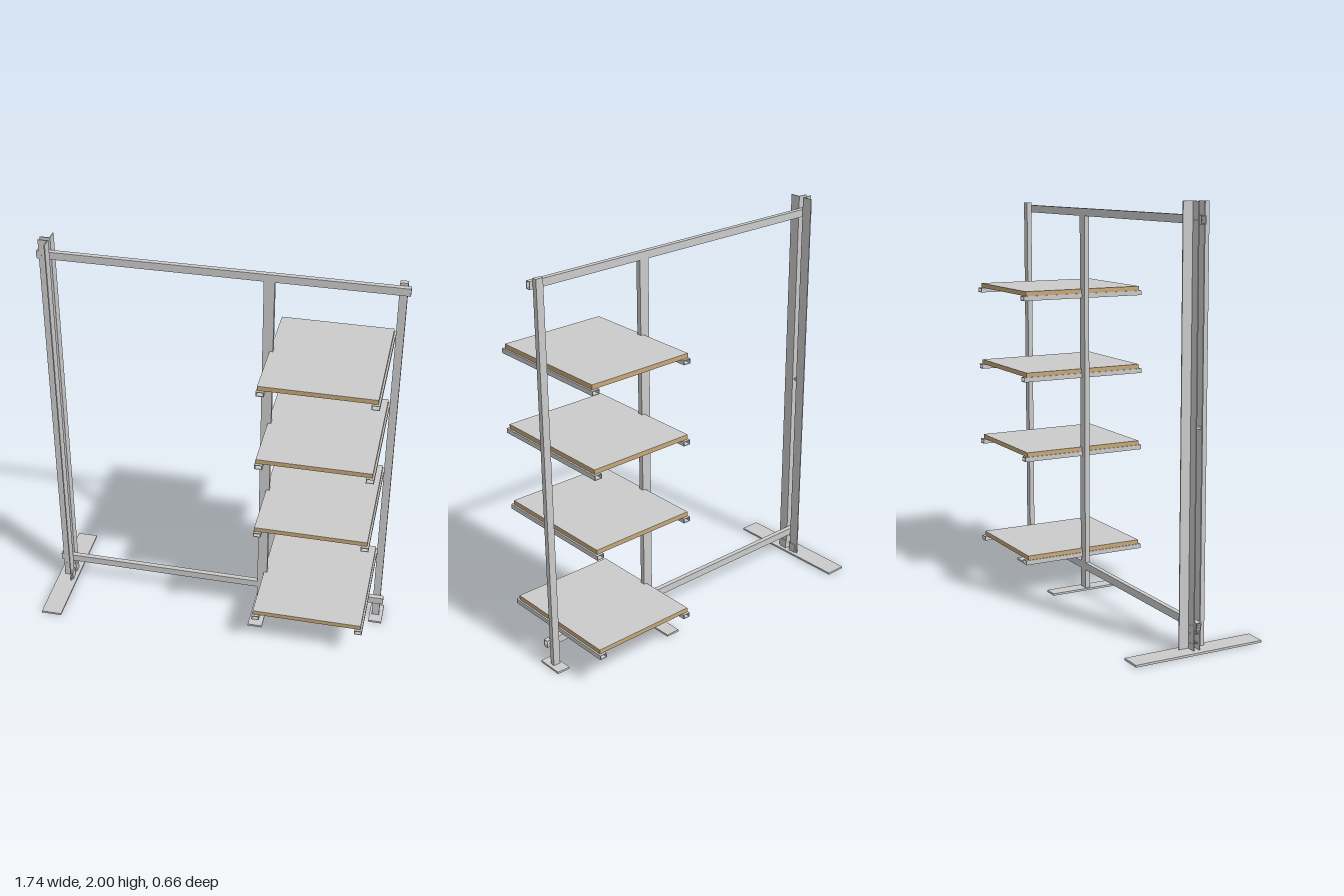
import * as THREE from 'three';

const grey = new THREE.MeshStandardMaterial({ color: 0xcccccc });
const wood = new THREE.MeshStandardMaterial({ color: 0xc8a878 });

export function createModel() {
  const model = new THREE.Group();

  const add = (name, geometry, material = grey, parent = model) => {
    const mesh = new THREE.Mesh(geometry, material);
    mesh.name = name;
    parent.add(mesh);
    return mesh;
  };

  // Solid box given by its limits on each axis
  const box = (name, [x0, x1], [y0, y1], [z0, z1], material, parent) => {
    const mesh = add(name, new THREE.BoxGeometry(x1 - x0, y1 - y0, z1 - z0), material, parent);
    mesh.position.set((x0 + x1) / 2, (y0 + y1) / 2, (z0 + z1) / 2);
    return mesh;
  };

  // Open-ended rectangular steel tube given by its limits, running along one axis
  const tube = (name, axis, [x0, x1], [y0, y1], [z0, z1], parent) => {
    const size = { x: x1 - x0, y: y1 - y0, z: z1 - z0 };
    const w = axis === 'x' ? size.z : size.x;
    const h = axis === 'y' ? size.z : size.y;
    const rect = (P, a, b) => new P([
      new THREE.Vector2(-a, -b), new THREE.Vector2(a, -b),
      new THREE.Vector2(a, b), new THREE.Vector2(-a, b)]);
    const wall = 0.003;
    const section = rect(THREE.Shape, w / 2, h / 2);
    section.holes.push(rect(THREE.Path, w / 2 - wall, h / 2 - wall));
    const geometry = new THREE.ExtrudeGeometry(section, { depth: size[axis], bevelEnabled: false });
    geometry.translate(0, 0, -size[axis] / 2);
    if (axis === 'x') geometry.rotateY(Math.PI / 2);
    if (axis === 'y') geometry.rotateX(-Math.PI / 2);
    const mesh = add(name, geometry, grey, parent);
    mesh.position.set((x0 + x1) / 2, (y0 + y1) / 2, (z0 + z1) / 2);
    return mesh;
  };

  const rod = (name, x, y, radius, length, parent) => {
    const geometry = new THREE.CylinderGeometry(radius, radius, length, 12).rotateX(Math.PI / 2);
    add(name, geometry, grey, parent).position.set(x, y, 0);
  };

  const core = [-0.0125, 0.0125];
  const plate = [0, 0.01];

  // Floor plates
  box('leftFoot', [-0.87, -0.767], plate, [-0.33, 0.33]);
  box('middleFoot', [0.197, 0.27], plate, [-0.2, 0.2]);
  box('rightFoot', [0.8, 0.867], plate, [-0.093, 0.04]);

  // Horizontal rails; the lower one is interrupted by the middle post
  tube('topRail', 'x', [-0.855, 0.865], [1.902, 1.939], core);
  tube('bottomRailLong', 'x', [-0.855, 0.209], [0.106, 0.143], core);
  tube('bottomRailShort', 'x', [0.259, 0.865], [0.106, 0.143], core);

  // Middle and right posts
  tube('middlePost', 'y', [0.209, 0.259], [0.01, 1.902], core);
  tube('rightPost', 'y', [0.812, 0.849], [0.01, 1.951], [-0.0375, -0.0125]);
  box('rightPostCap', [0.812, 0.849], [1.949, 1.952], [-0.0375, -0.0125]);

  // Pair of angle irons clamping the rail ends
  const leftPost = new THREE.Group();
  leftPost.name = 'leftPost';
  model.add(leftPost);
  const angle = new THREE.Shape([
    [-0.841, 0.0125], [-0.791, 0.0125], [-0.791, 0.066],
    [-0.796, 0.066], [-0.796, 0.0175], [-0.841, 0.0175],
  ].map(([x, z]) => new THREE.Vector2(x, z)));
  for (const side of [1, -1]) {
    const geometry = new THREE.ExtrudeGeometry(angle, { depth: 1.99, bevelEnabled: false });
    geometry.rotateX(-Math.PI / 2);
    const iron = add('angleIron', geometry, grey, leftPost);
    if (side > 0) {
      // Turned end for end so that its flange points forwards
      iron.rotation.x = Math.PI;
      iron.position.y = 2;
    } else {
      iron.position.y = 0.01;
    }
    const z = [side * 0.0125, side * 0.053].sort((a, b) => a - b);
    box('footBracket', [-0.791, -0.785], [0.01, 0.055], z, grey, leftPost);
  }

  // Bolts through the angle irons and the spacer at mid height
  for (const y of [1.92, 0.125, 0.085, 0.04])
    for (const x of [-0.829, -0.811]) rod('bolt', x, y, 0.003, 0.038, leftPost);
  box('spacer', [-0.833, -0.803], [1.015, 1.027], core, grey, leftPost);

  // Shelves: two tube bearers under a wooden board with a grey top sheet
  for (const y of [0.167, 0.697, 1.097, 1.497]) {
    const shelf = new THREE.Group();
    shelf.name = 'shelf';
    shelf.position.y = y;
    model.add(shelf);
    for (const x of [0.239, 0.756])
      tube('shelfBearer', 'z', [x, x + 0.0375], [0, 0.023], [-0.33, 0.33], shelf);
    box('shelfBoard', [0.243, 0.785], [0.023, 0.0445], [-0.317, 0.317], wood, shelf);
    box('shelfTop', [0.243, 0.785], [0.0445, 0.0455], [-0.317, 0.317], grey, shelf);
  }

  return model;
}
